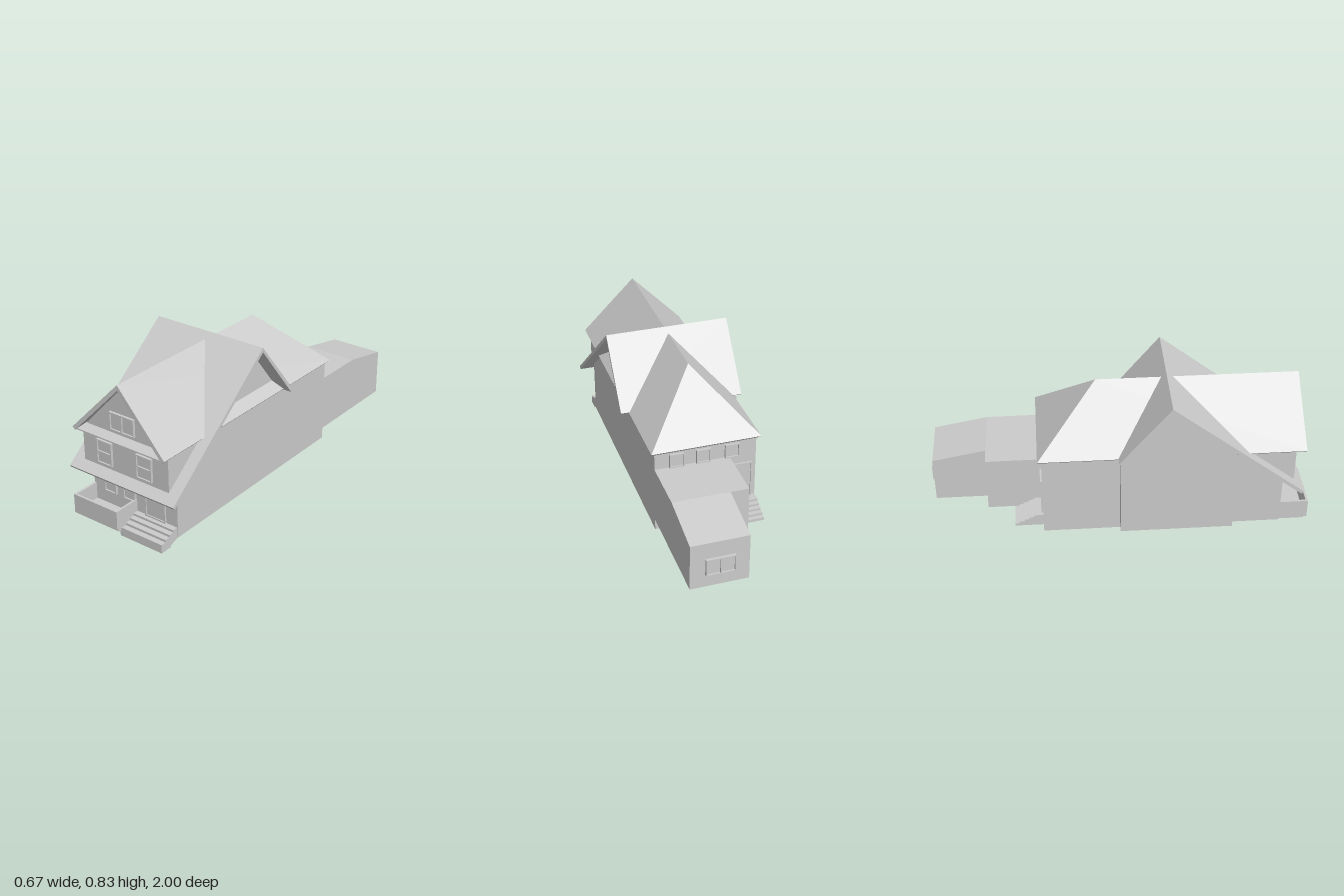
import * as THREE from 'three';

const material = new THREE.MeshStandardMaterial({ color: 0xcccccc, flatShading: true });

function add(parent, name, geometry) {
  const mesh = new THREE.Mesh(geometry, material);
  mesh.name = name;
  parent.add(mesh);
  return mesh;
}

// Box given by its limits on each axis
function box(parent, name, x0, x1, y0, y1, z0, z1) {
  const g = new THREE.BoxGeometry(x1 - x0, y1 - y0, z1 - z0);
  return add(parent, name, g.translate((x0 + x1) / 2, (y0 + y1) / 2, (z0 + z1) / 2));
}

// Side profile of [z, y] points, extruded from x0 to x1
function sideProfile(parent, name, points, x0, x1) {
  const shape = new THREE.Shape(points.map(([z, y]) => new THREE.Vector2(-z, y)));
  const g = new THREE.ExtrudeGeometry(shape, { depth: x1 - x0, bevelEnabled: false });
  return add(parent, name, g.rotateY(Math.PI / 2).translate(x0, 0, 0));
}

// Slab between two matching convex polygons
function slab(parent, name, top, bottom) {
  const v = (p) => new THREE.Vector3(...p);
  const normal = v(top[1]).sub(v(top[0])).cross(v(top[2]).sub(v(top[0])));
  if (normal.dot(v(top[0]).sub(v(bottom[0]))) < 0) {
    top = [...top].reverse();
    bottom = [...bottom].reverse();
  }
  const n = top.length;
  const out = [];
  for (let i = 1; i < n - 1; i++) {
    out.push(top[0], top[i], top[i + 1], bottom[0], bottom[i + 1], bottom[i]);
  }
  for (let i = 0; i < n; i++) {
    const j = (i + 1) % n;
    out.push(top[i], bottom[i], bottom[j], top[i], bottom[j], top[j]);
  }
  const g = new THREE.BufferGeometry();
  g.setAttribute('position', new THREE.Float32BufferAttribute(out.flat(), 3));
  g.computeVertexNormals();
  return add(parent, name, g);
}

// Framed opening with a grid of panes; back = true turns it to face -z
function framed(parent, name, x0, x1, y0, y1, z, { cols = 1, rows = 1, back = false, depth = 0.014, rim = 0.006 } = {}) {
  const group = new THREE.Group();
  group.name = name;
  const w = x1 - x0, h = y1 - y0;
  const rect = (Type, a, b, c, d) => new Type([[a, c], [b, c], [b, d], [a, d]].map((p) => new THREE.Vector2(...p)));
  const frame = rect(THREE.Shape, -w / 2, w / 2, -h / 2, h / 2);
  const pw = (w - rim * (cols + 1)) / cols, ph = (h - rim * (rows + 1)) / rows;
  for (let c = 0; c < cols; c++) {
    for (let r = 0; r < rows; r++) {
      const px = -w / 2 + rim + c * (pw + rim), py = -h / 2 + rim + r * (ph + rim);
      frame.holes.push(rect(THREE.Path, px, px + pw, py, py + ph));
    }
  }
  add(group, 'frame', new THREE.ExtrudeGeometry(frame, { depth, bevelEnabled: false }));
  box(group, 'panel', -w / 2 + rim / 2, w / 2 - rim / 2, -h / 2 + rim / 2, h / 2 - rim / 2, 0, depth * 0.4);
  group.position.set((x0 + x1) / 2, (y0 + y1) / 2, z);
  if (back) group.rotation.y = Math.PI;
  parent.add(group);
}

export function createModel() {
  const house = new THREE.Group();
  house.name = 'house';

  // Main walls, with the upper storey leaning out through the front roof
  sideProfile(house, 'mainWalls', [
    [0.85, 0.03], [0.85, 0.335], [0.907, 0.295], [0.907, 0.495], [-0.41, 0.495], [-0.41, 0.03],
  ], -0.27, 0.27);

  // Side bay rising into its own gable
  sideProfile(house, 'sideBay', [
    [0.59, 0.035], [0.59, 0.55], [0.25, 0.82], [-0.005, 0.495], [-0.005, 0.035],
  ], -0.31, -0.2);

  // Small gable wall on the other side
  sideProfile(house, 'sideGable', [[0.58, 0.54], [0.25, 0.815], [0.03, 0.54]], 0.2, 0.243);

  // Front gable wall and the sloped ledge below it
  const gable = new THREE.Shape([[-0.27, 0.49], [0.27, 0.49], [0, 0.78]].map((p) => new THREE.Vector2(...p)));
  add(house, 'frontGable', new THREE.ExtrudeGeometry(gable, { depth: 0.03, bevelEnabled: false }).translate(0, 0, 0.877));
  sideProfile(house, 'gableLedge', [[0.9, 0.49], [0.948, 0.49], [0.948, 0.497], [0.907, 0.52], [0.9, 0.52]], -0.27, 0.27);

  // Main roof: two slopes and a hipped back
  for (const s of [-1, 1]) {
    slab(house, 'mainRoofSlope',
      [[0, 0.805, 0.94], [0.29 * s, 0.505, 0.957], [0.29 * s, 0.505, -0.43], [0, 0.805, -0.115]],
      [[0, 0.775, 0.94], [0.275 * s, 0.49, 0.957], [0.275 * s, 0.49, -0.415], [0, 0.775, -0.115]]);
  }
  slab(house, 'mainRoofHip',
    [[0, 0.805, -0.115], [0.29, 0.505, -0.43], [-0.29, 0.505, -0.43]],
    [[0, 0.775, -0.115], [0.275, 0.49, -0.415], [-0.275, 0.49, -0.415]]);

  // Cross roof: long front slope and short back slope
  const crossSlope = (name, z, y, zi, yi) => slab(house, name,
    [[-0.333, 0.835, 0.25], [0.333, 0.835, 0.25], [0.333, y, z], [-0.333, y, z]],
    [[-0.333, 0.811, 0.25], [0.333, 0.811, 0.25], [0.333, yi, zi], [-0.333, yi, zi]]);
  crossSlope('crossRoofFront', 0.953, 0.271, 0.942, 0.256);
  crossSlope('crossRoofBack', -0.015, 0.508, 0.0, 0.496);

  // Rear extension in two widths
  sideProfile(house, 'rearExtension', [
    [-0.4, 0.09], [-0.4, 0.4], [-0.7, 0.4], [-0.985, 0.345], [-0.985, 0.09],
  ], -0.03, 0.27);
  box(house, 'rearExtensionSide', -0.127, 0, 0.09, 0.4, -0.703, -0.4);

  // Rear steps
  for (let i = 0; i < 5; i++) {
    box(house, 'rearStep', -0.27, -0.127, 0.075, 0.09 + i * 0.0125, -0.56 + i * 0.025, -0.41);
  }

  // Front steps
  sideProfile(house, 'frontSteps', [
    [0.968, 0], [0.968, 0.047], [0.938, 0.047], [0.938, 0.06], [0.908, 0.06], [0.908, 0.073],
    [0.88, 0.073], [0.88, 0.085], [0.84, 0.085], [0.84, 0.03], [0.87, 0.02], [0.9, 0.01], [0.9, 0],
  ], 0.003, 0.266);

  // Porch floor and parapet
  box(house, 'porchFloor', -0.265, 0.01, 0.032, 0.06, 0.84, 0.985);
  box(house, 'porchFrontWall', -0.27, 0.013, 0.045, 0.15, 0.988, 1);
  box(house, 'porchSideWall', -0.27, -0.258, 0.045, 0.15, 0.85, 0.988);
  box(house, 'porchSideWall', 0.001, 0.013, 0.045, 0.15, 0.85, 0.988);

  // Front windows and door
  for (const x of [-0.127, 0.125]) framed(house, 'upperWindow', x - 0.048, x + 0.048, 0.33, 0.458, 0.907, { rows: 2 });
  for (const x of [-0.152, -0.029]) framed(house, 'lowerWindow', x - 0.038, x + 0.038, 0.135, 0.24, 0.85, { rows: 2 });
  framed(house, 'atticWindow', -0.08, 0.072, 0.54, 0.635, 0.907, { cols: 2 });
  framed(house, 'frontDoor', 0.07, 0.198, 0.085, 0.252, 0.85, { rim: 0.008, depth: 0.01 });

  // Rear windows and door
  for (const x of [0.155, 0.014, -0.139]) framed(house, 'rearWindow', x - 0.038, x + 0.038, 0.4, 0.478, -0.41, { back: true });
  framed(house, 'rearDoor', -0.25, -0.14, 0.14, 0.35, -0.41, { back: true, rim: 0.008, depth: 0.01 });
  framed(house, 'extensionWindow', 0.042, 0.193, 0.16, 0.255, -0.985, { cols: 2, back: true, depth: 0.015 });

  return house;
}
